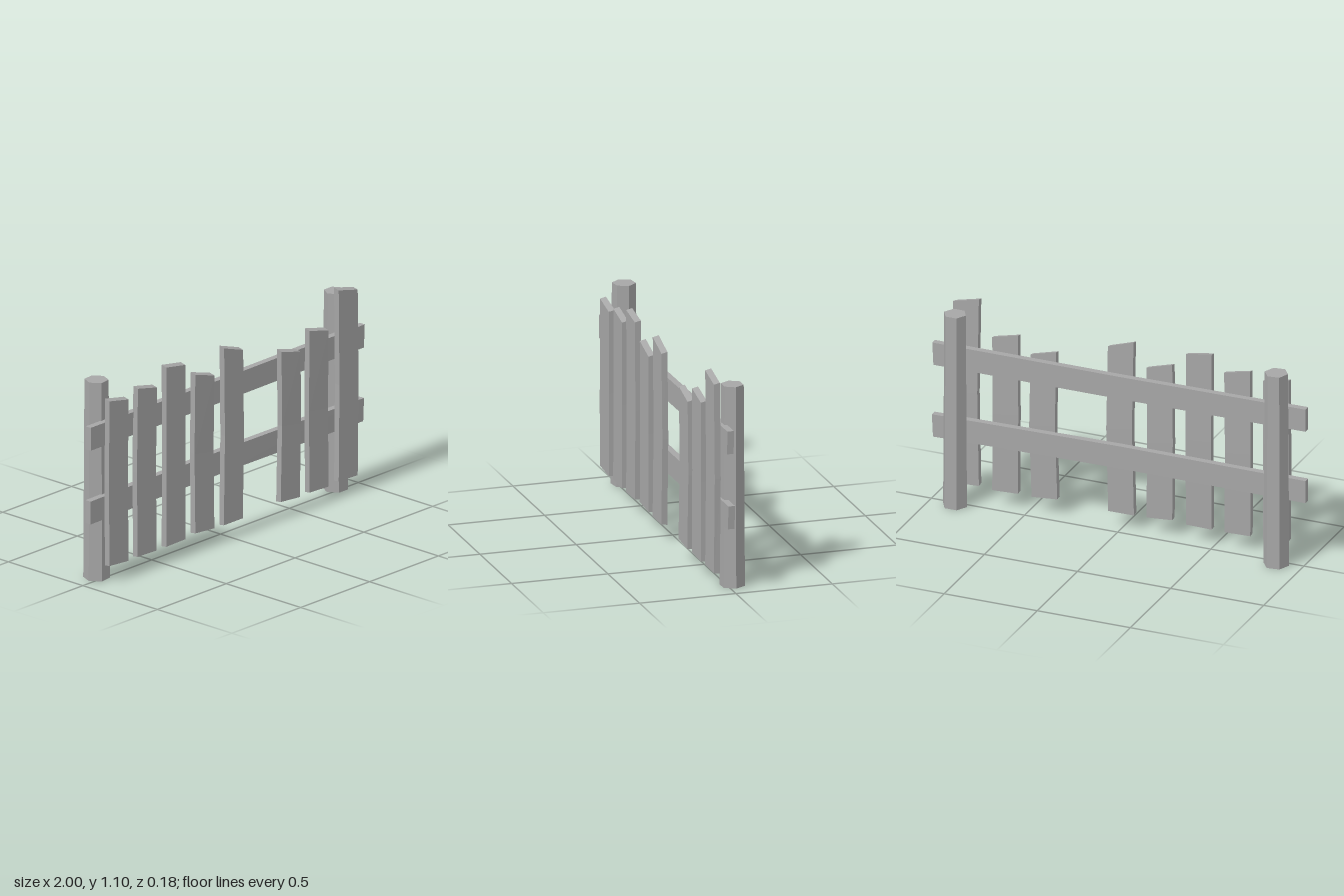
import * as THREE from 'three';

const wood = new THREE.MeshStandardMaterial({ color: 0xa6a6a6, flatShading: true });
wood.name = 'greyWood';

// Reshape a unit box: rule(u, v, w) maps -0.5..0.5 coordinates to a position
function shapedBox(name, sx, sy, rule) {
  const geo = new THREE.BoxGeometry(1, 1, 1, sx, sy, 1);
  const p = geo.attributes.position;
  for (let i = 0; i < p.count; i++) p.setXYZ(i, ...rule(p.getX(i), p.getY(i), p.getZ(i)));
  geo.computeVertexNormals();
  const mesh = new THREE.Mesh(geo, wood);
  mesh.name = name;
  return mesh;
}

// Pale: slanted top, slightly bowed at mid height
function pale(i, [xTop, xMid, xBottom, yLeft, yRight, z, yBottomLeft, yBottomRight]) {
  return shapedBox('pale' + (i + 1), 1, 2, (u, v, w) => {
    const x = v > 0.1 ? xTop : v < -0.1 ? xBottom : xMid;
    const top = yLeft + (yRight - yLeft) * (u + 0.5) - (w > 0 ? 0.007 : 0);
    const bottom = yBottomLeft + (yBottomRight - yBottomLeft) * (u + 0.5) - (w < 0 ? 0.004 : 0);
    const bow = Math.abs(v) < 0.1 ? -0.002 : 0;
    return [x + u * 0.138, bottom + (top - bottom) * (v + 0.5), z + w * 0.031 + bow];
  });
}

// Rail: runs slightly askew from one end to the other
function rail(name, y, yMid, zLeft, zRight) {
  return shapedBox(name, 2, 1, (u, v, w) => [
    u * 2 - (u > 0.1 && v < 0 ? 0.006 : 0),
    (Math.abs(u) < 0.1 ? yMid : y) + v * 0.12,
    zLeft + (zRight - zLeft) * (u + 0.5) + w * 0.034,
  ]);
}

// Post: tapered hexagonal prism
function post(name, x, z, rTop, rBottom, turn) {
  const geo = new THREE.CylinderGeometry(rTop, rBottom, 1.04, 6);
  const mesh = new THREE.Mesh(geo, wood);
  mesh.name = name;
  mesh.position.set(x, 0.52, z);
  mesh.rotation.y = Math.PI / 6 + turn;
  return mesh;
}

export function createModel() {
  const fence = new THREE.Group();
  fence.name = 'fence';

  fence.add(post('rightPost', -0.866, -0.032, 0.06, 0.066, 0.12));
  fence.add(post('leftPost', 0.862, -0.026, 0.058, 0.064, 0));

  fence.add(rail('upperRail', 0.782, 0.778, 0.036, 0.027));
  fence.add(rail('lowerRail', 0.394, 0.402, 0.035, 0.022));

  // xTop, xMid, xBottom, yLeft, yRight, z, yBottomLeft, yBottomRight
  [
    [-0.826, -0.829, -0.826, 0.967, 0.94, 0.067, 0.095, 0.085],
    [-0.619, -0.624, -0.621, 0.977, 0.947, 0.066, 0.087, 0.084],
    [-0.414, -0.411, -0.414, 1.033, 1.01, 0.067, 0.084, 0.087],
    [-0.202, -0.206, -0.202, 0.937, 0.897, 0.066, 0.097, 0.087],
    [0.006, 0.014, 0.004, 1.02, 0.975, 0.067, 0.084, 0.084],
    [0.422, 0.428, 0.416, 0.89, 0.853, 0.068, 0.095, 0.084],
    [0.627, 0.624, 0.627, 0.943, 0.91, 0.067, 0.087, 0.082],
    [0.837, 0.845, 0.837, 1.1, 1.067, 0.068, 0.09, 0.085],
  ].forEach((spec, i) => fence.add(pale(i, spec)));

  return fence;
}
